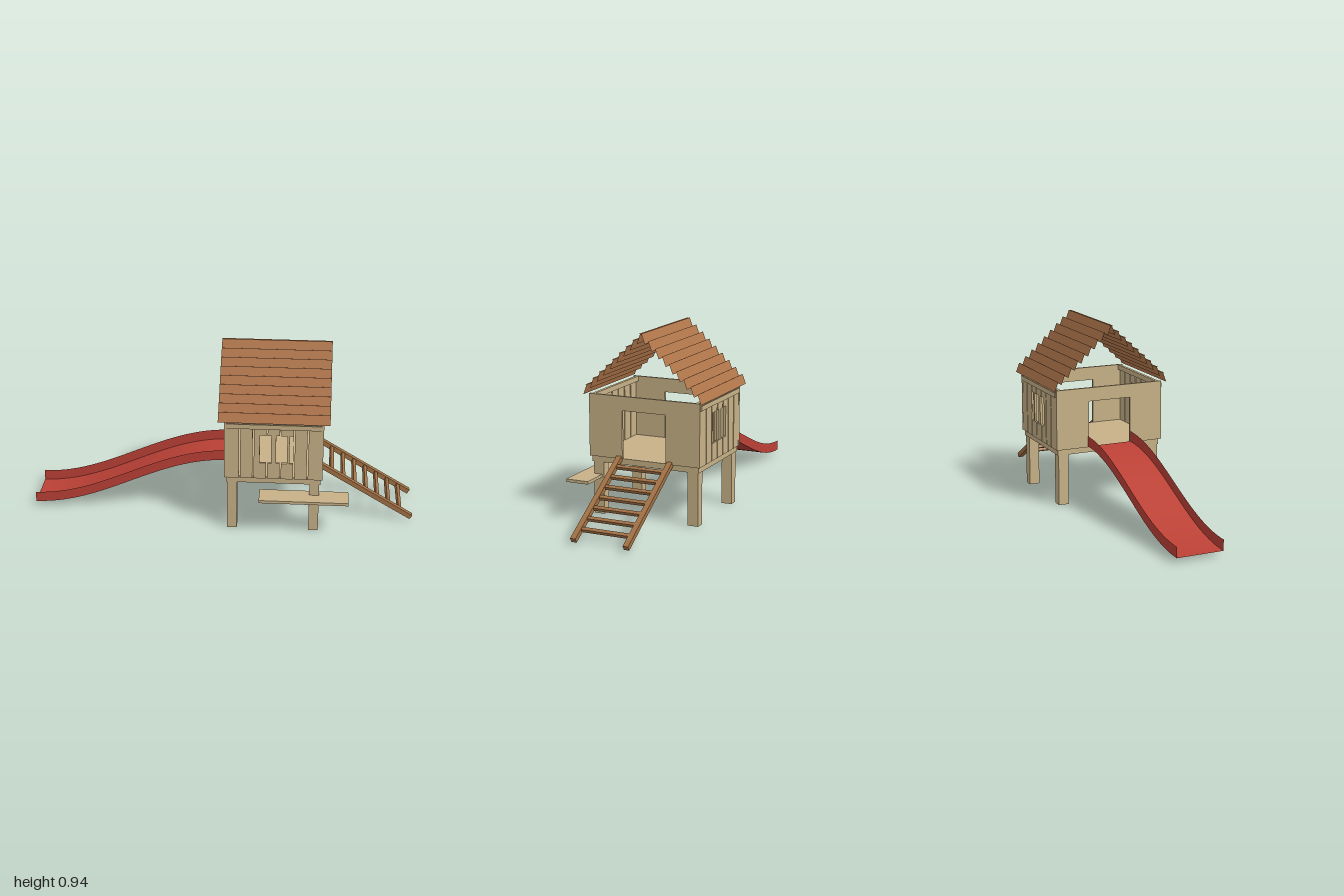
import * as THREE from 'three';

const mat = (name, color, side = THREE.FrontSide) => {
  const m = new THREE.MeshStandardMaterial({ color, side });
  m.name = name;
  return m;
};

export function createModel() {
  const timber = mat('pale timber', 0xc8b187);
  const shingle = mat('roof brown', 0xb4784c);
  const ladderWood = mat('ladder brown', 0xa27145);
  const red = mat('slide red', 0xbc4136, THREE.DoubleSide);

  const model = new THREE.Group();
  model.name = 'playhouse';
  const midZ = -0.02;

  const add = (name, geometry, material, parent = model) => {
    const mesh = new THREE.Mesh(geometry, material);
    mesh.name = name;
    parent.add(mesh);
    return mesh;
  };
  // Box given by its limits along each axis
  const block = (name, x0, x1, y0, y1, z0, z1, material, parent) => {
    const mesh = add(name, new THREE.BoxGeometry(x1 - x0, y1 - y0, z1 - z0), material, parent);
    mesh.position.set((x0 + x1) / 2, (y0 + y1) / 2, (z0 + z1) / 2);
    return mesh;
  };
  const group = (name) => {
    const g = new THREE.Group();
    g.name = name;
    model.add(g);
    return g;
  };

  // Platform and legs
  block('platform', 0.03, 0.51, 0.27, 0.3, -0.31, 0.27, timber);
  for (const x of [0.035, 0.455])
    for (const z of [-0.305, 0.21])
      block('leg', x, x + 0.05, 0, 0.27, z, z + 0.055, timber);

  // End walls with a doorway
  const wall = new THREE.Shape([
    [-0.3, 0.3], [-0.118, 0.3], [-0.118, 0.545], [0.118, 0.545],
    [0.118, 0.3], [0.3, 0.3], [0.3, 0.617], [-0.3, 0.617],
  ].map(([x, y]) => new THREE.Vector2(x, y)));
  const wallGeo = new THREE.ExtrudeGeometry(wall, { depth: 0.013, bevelEnabled: false });
  wallGeo.rotateY(Math.PI / 2);
  for (const x of [0.02, 0.507])
    add('doorWall', wallGeo, timber).position.set(x, 0, midZ);

  // Plank walls with a barred window, front and back
  const win = { x0: 0.2, x1: 0.368, y0: 0.388, y1: 0.543 };
  for (const s of [1, -1]) {
    const side = group(s > 0 ? 'frontWall' : 'backWall');
    const slab = (name, x0, x1, y0, y1, a, b) => {
      const z = [midZ + s * a, midZ + s * b].sort((p, q) => p - q);
      block(name, x0, x1, y0, y1, z[0], z[1], timber, side);
    };
    for (let i = 0; i < 7; i++) {
      const x0 = 0.033 + i * 0.0687, x1 = x0 + 0.062;
      const a = Math.max(x0, win.x0), b = Math.min(x1, win.x1);
      if (a >= b) {
        slab('plank', x0, x1, 0.3, 0.6, 0.285, 0.299);
        continue;
      }
      slab('plankBelowWindow', x0, x1, 0.3, win.y0, 0.285, 0.299);
      slab('plankAboveWindow', x0, x1, win.y1, 0.6, 0.285, 0.299);
      if (x0 < win.x0) slab('windowSide', x0, win.x0, win.y0, win.y1, 0.285, 0.299);
      if (x1 > win.x1) slab('windowSide', win.x1, x1, win.y0, win.y1, 0.285, 0.299);
    }
    slab('windowBar', 0.257, 0.282, win.y0, win.y1, 0.285, 0.297);
    slab('windowBar', 0.338, 0.35, win.y0, win.y1, 0.285, 0.297);
    slab('innerTopRail', 0.033, 0.507, 0.59, 0.617, 0.272, 0.288);
    slab('outerTopRail', 0.03, 0.51, 0.58, 0.605, 0.299, 0.306);
  }

  // Roof of overlapping, open-ended slats
  const slatGeo = new THREE.BoxGeometry(0.56, 0.052, 0.006);
  slatGeo.setIndex(Array.from(slatGeo.index.array).slice(12));
  slatGeo.clearGroups();
  for (const s of [1, -1]) {
    const slope = group(s > 0 ? 'frontRoof' : 'backRoof');
    for (let i = 0; i < 9; i++) {
      const slat = add('roofSlat', slatGeo, shingle, slope);
      slat.position.set(0.27, 0.914 - i * 0.034, midZ + s * (0.012 + i * 0.037));
      slat.rotation.x = -s * 0.36;
    }
  }

  // Bench board
  block('bench', 0.2, 0.655, 0.19, 0.205, 0.22, 0.34, timber);

  // Ladder: two rails and rungs, tilted together
  const ladder = group('ladder');
  const length = 0.555, pitch = 0.0699;
  ladder.position.set(0.752, 0.161, -0.022);
  ladder.rotation.z = -Math.atan2(0.29, 0.485);
  for (const s of [1, -1])
    block('ladderRail', -length / 2, length / 2, -0.0125, 0.0125,
      s * 0.138 - 0.014, s * 0.138 + 0.014, ladderWood, ladder);
  for (let i = 0; i < 7; i++) {
    const x = -0.215 + i * pitch;
    block('rung', x - 0.009, x + 0.009, -0.009, 0.009, -0.125, 0.125, ladderWood, ladder);
  }

  // Slide: U-shaped sheet following an S-curve
  const steps = 28;
  const slideY = (t) => 0.02 + 0.285 * (0.5 - 0.5 * Math.cos(Math.PI * t));
  const strip = (name, p, q) => {
    const pos = [], idx = [];
    for (let i = 0; i <= steps; i++) {
      const t = i / steps, x = -1 + 1.02 * t, y = slideY(t);
      pos.push(x, y + p[0], p[1], x, y + q[0], q[1]);
      if (i < steps) {
        const k = 2 * i;
        idx.push(k, k + 1, k + 2, k + 1, k + 3, k + 2);
      }
    }
    const g = new THREE.BufferGeometry();
    g.setAttribute('position', new THREE.Float32BufferAttribute(pos, 3));
    g.setIndex(idx);
    g.computeVertexNormals();
    add(name, g, red);
  };
  const zl = 0.1, zr = -0.146, rim = 0.055;
  strip('slideBed', [0, zr], [0, zl]);
  strip('slideFrontSide', [0, zl], [rim, zl]);
  strip('slideBackSide', [rim, zr], [0, zr]);

  return model;
}
